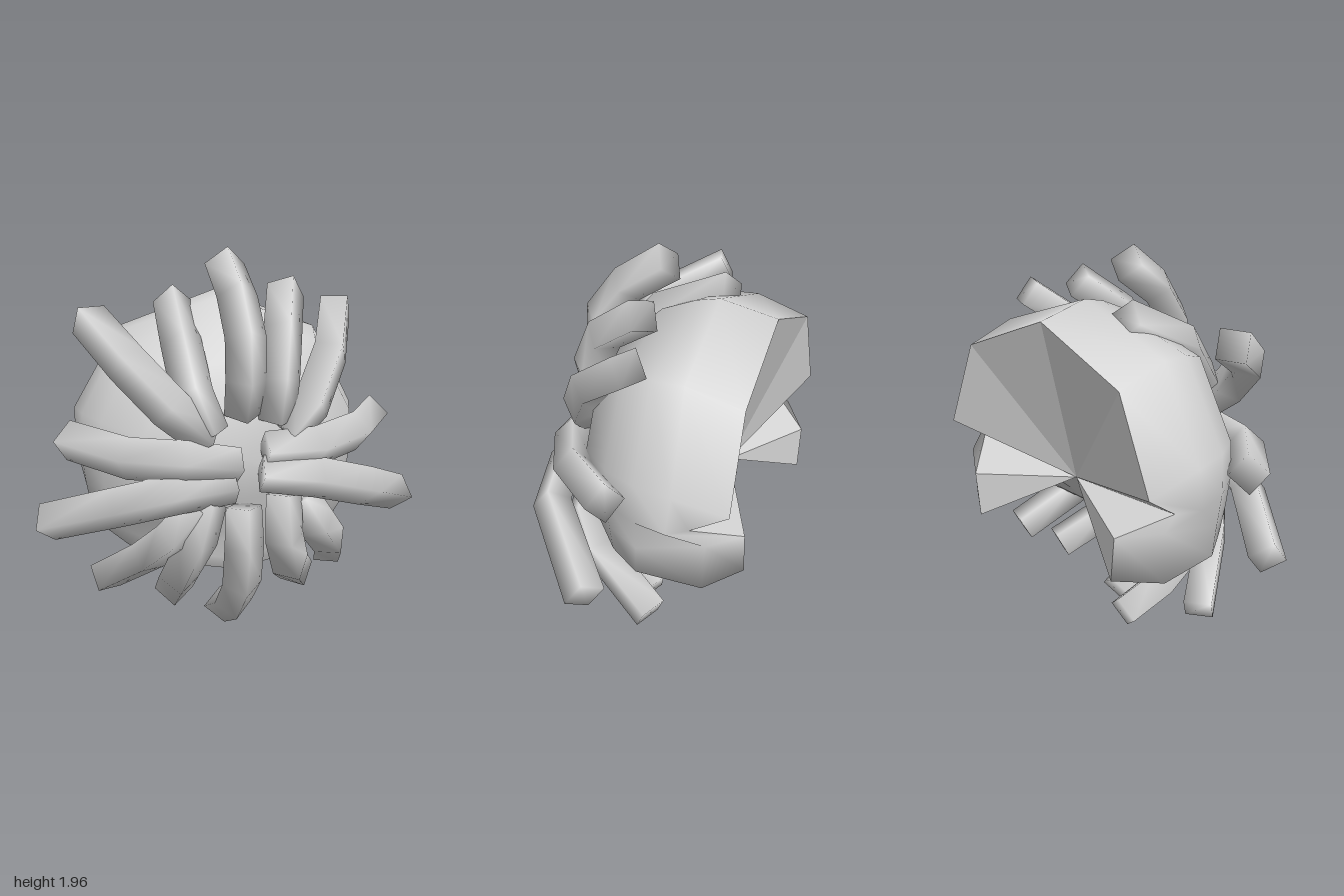
import * as THREE from 'three';
import { mergeVertices } from 'three/addons/utils/BufferGeometryUtils.js';

const grey = new THREE.MeshStandardMaterial({ color: 0xd4d4d4, side: THREE.DoubleSide });
grey.name = 'plain grey';

const CX = -0.02;

function build(positions, index) {
  const g = new THREE.BufferGeometry();
  g.setAttribute('position', new THREE.Float32BufferAttribute(positions, 3));
  g.setIndex(index);
  return g;
}

function addMesh(group, geometry, name) {
  const m = new THREE.Mesh(geometry, grey);
  m.name = name;
  group.add(m);
}

// Half outline from top to bottom: open rear rim, flank, shoulder
const half = [
  [[0, 1.70, -0.50], [0, 1.75, -0.22], [0, 1.72, -0.10]],
  [[0.48, 1.50, -0.52], [0.50, 1.57, -0.25], [0.50, 1.56, -0.10]],
  [[0.66, 1.06, -0.53], [0.74, 1.15, -0.29], [0.72, 1.15, -0.10]],
  [[0.65, 0.92, -0.34], [0.74, 0.94, -0.26], [0.73, 0.95, -0.10]],
  [[0.48, 0.82, -0.55], [0.66, 0.86, -0.42], [0.71, 0.78, -0.10]],
  [[0.46, 0.59, -0.55], [0.66, 0.60, -0.41], [0.68, 0.60, -0.08]],
  [[0.47, 0.58, 0.02], [0.53, 0.53, 0.03], [0.53, 0.50, 0.06]],
  [[0.30, 0.44, 0.14], [0.31, 0.42, 0.16], [0.31, 0.42, 0.18]],
  [[0, 0.39, 0.19], [0, 0.37, 0.20], [0, 0.37, 0.22]],
];
const flip = ([x, y, z]) => [-x, y, z];
const columns = [...half, ...half.slice(1, -1).reverse().map((c) => c.map(flip))];

// Domed front, closed towards the middle
function bodyGeometry() {
  const rings = [0, 1, 2].map((i) => columns.map((c) => c[i]));
  for (const [s, z] of [[0.9, 0.07], [0.66, 0.26], [0.32, 0.34], [0, 0.36]]) {
    rings.push(columns.map(([, , [x, y, zs]]) => [
      x * s, 0.97 + (y - 0.97) * s, s === 0 ? z : Math.max(z, zs + (0.35 - zs) * (1 - s)),
    ]));
  }
  const n = columns.length, pos = [], idx = [];
  rings.forEach((r) => r.forEach(([x, y, z]) => pos.push(x + CX, y, z)));
  for (let j = 0; j < rings.length - 1; j++) {
    for (let k = 0; k < n; k++) {
      const a = j * n + k, b = j * n + (k + 1) % n;
      idx.push(a, a + n, b, b, a + n, b + n);
    }
  }
  const g = mergeVertices(build(pos, idx));
  g.computeVertexNormals();
  return g;
}

// Faceted hollow: a fan from the rim to a sunken centre
function hollowGeometry() {
  const pos = [CX, 0.87, -0.30], idx = [];
  columns.forEach(([[x, y, z]], k) => {
    pos.push(x + CX, y, z);
    idx.push(0, k + 1, (k + 1) % columns.length + 1);
  });
  const g = build(pos, idx).toNonIndexed();
  g.computeVertexNormals();
  return g;
}

// Four-sided soft-shaded arm, one ridge facing outwards
function armGeometry(path) {
  const pts = path.map((p) => new THREE.Vector3(...p));
  const last = pts.length - 1, pos = [], idx = [];
  const side = pts[last].clone().sub(pts[0]).cross(new THREE.Vector3(0, 0, 1)).normalize();
  pts.forEach((p, i) => {
    const t = pts[Math.min(i + 1, last)].clone().sub(pts[Math.max(i - 1, 0)]).normalize();
    const s = side.clone().addScaledVector(t, -side.dot(t)).normalize();
    const u = t.clone().cross(s);
    const r = i === 0 ? 0.09 : 0.1;
    for (let k = 0; k < 4; k++) {
      const a = k * Math.PI / 2;
      const v = p.clone().addScaledVector(s, Math.cos(a) * r).addScaledVector(u, Math.sin(a) * r * 0.95);
      pos.push(v.x, v.y, v.z);
    }
  });
  for (let i = 0; i < last; i++) {
    for (let k = 0; k < 4; k++) {
      const a = i * 4 + k, b = i * 4 + (k + 1) % 4;
      idx.push(a, b, a + 4, b, b + 4, a + 4);
    }
  }
  // End caps share the ring vertices, so the shading rolls over the ends
  const e = last * 4;
  idx.push(0, 2, 1, 0, 3, 2, e, e + 1, e + 2, e, e + 2, e + 3);
  const g = build(pos, idx);
  g.computeVertexNormals();
  return g;
}

// Arm centre lines from root to tip, clockwise from the top
const arms = {
  topArm: [[-0.04, 1.19, 0.35], [-0.04, 1.36, 0.41], [-0.04, 1.55, 0.40], [-0.04, 1.73, 0.26], [-0.04, 1.88, 0.04]],
  leftArm1: [[0.13, 1.16, 0.35], [0.13, 1.35, 0.39], [0.18, 1.56, 0.28], [0.28, 1.75, 0.03]],
  leftArm2: [[0.18, 1.09, 0.37], [0.30, 1.22, 0.36], [0.45, 1.45, 0.22], [0.58, 1.66, -0.04]],
  leftArm3: [[0.05, 1.03, 0.42], [0.30, 1.03, 0.42], [0.57, 1.06, 0.27], [0.79, 1.09, -0.01]],
  leftArm4: [[0.03, 0.92, 0.43], [0.30, 0.89, 0.46], [0.58, 0.81, 0.40], [0.94, 0.65, 0.04]],
  leftArm5: [[0.27, 0.76, 0.33], [0.35, 0.62, 0.35], [0.47, 0.48, 0.22], [0.61, 0.29, -0.13]],
  leftArm6: [[0.16, 0.80, 0.38], [0.16, 0.58, 0.40], [0.23, 0.40, 0.30], [0.39, 0.22, -0.04]],
  bottomArm: [[-0.04, 0.75, 0.38], [-0.04, 0.55, 0.39], [-0.04, 0.35, 0.35], [-0.04, 0.19, 0.20], [-0.04, 0.08, -0.02]],
  rightArm6: [[-0.21, 0.78, 0.37], [-0.27, 0.60, 0.39], [-0.34, 0.39, 0.28], [-0.31, 0.22, 0.01], [-0.26, 0.14, -0.22]],
  rightArm5: [[-0.26, 0.75, 0.35], [-0.38, 0.62, 0.36], [-0.48, 0.49, 0.22], [-0.65, 0.28, -0.10]],
  rightArm4: [[-0.10, 0.87, 0.42], [-0.36, 0.85, 0.42], [-0.62, 0.78, 0.32], [-0.94, 0.64, 0.02]],
  rightArm3: [[-0.08, 0.96, 0.42], [-0.33, 1.00, 0.43], [-0.58, 1.01, 0.33], [-0.82, 1.04, 0.00]],
  rightArm2: [[-0.22, 1.09, 0.38], [-0.40, 1.25, 0.42], [-0.57, 1.44, 0.32], [-0.70, 1.62, -0.01]],
  rightArm1: [[-0.20, 1.11, 0.38], [-0.28, 1.30, 0.35], [-0.29, 1.50, 0.19], [-0.25, 1.69, -0.20]],
};

export function createModel() {
  const model = new THREE.Group();
  model.name = 'anemone';
  addMesh(model, bodyGeometry(), 'body');
  addMesh(model, hollowGeometry(), 'rearHollow');
  for (const [name, path] of Object.entries(arms)) addMesh(model, armGeometry(path), name);
  return model;
}
